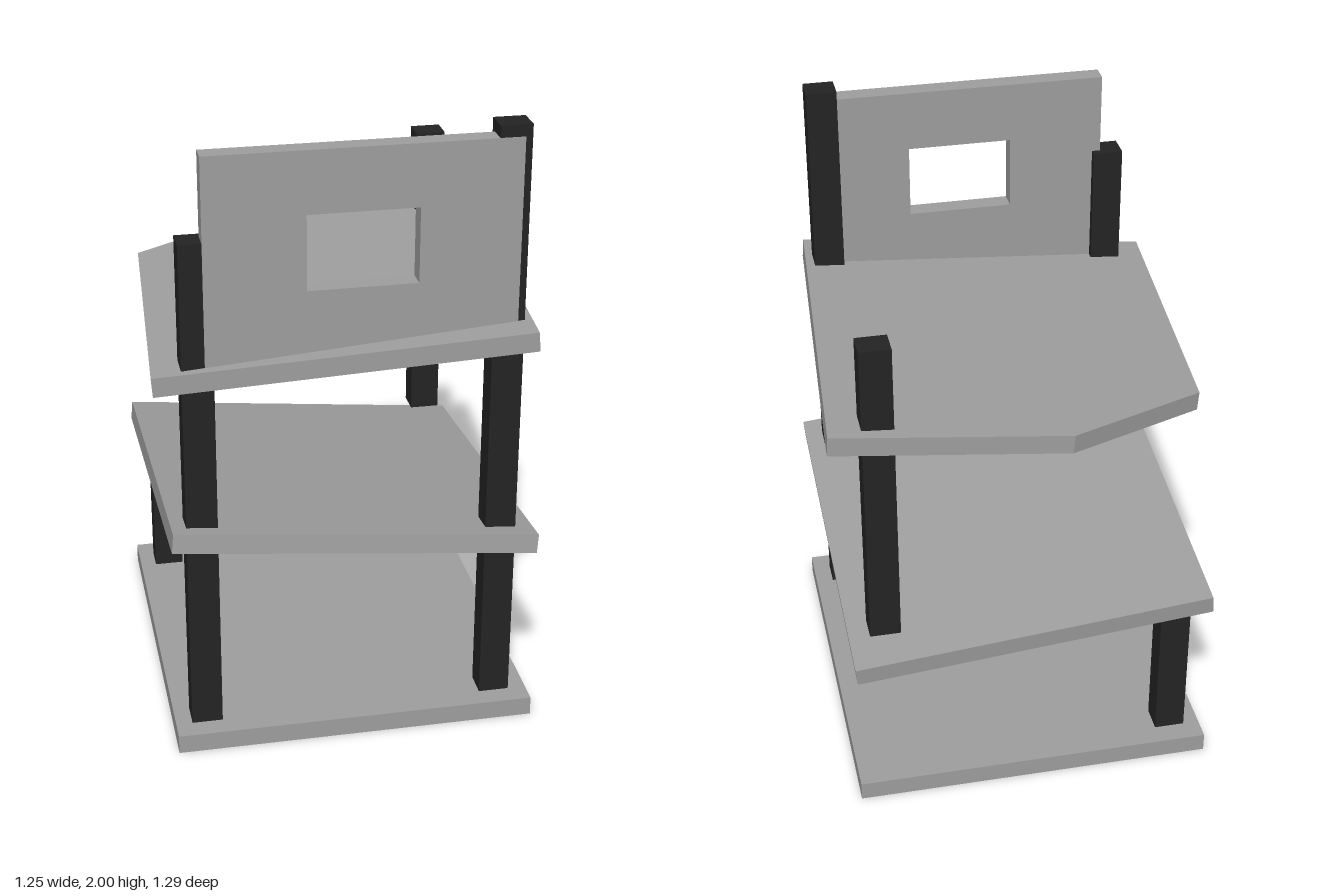
import * as THREE from 'three';

const grey = new THREE.MeshStandardMaterial({ color: 0x9f9f9f });
const dark = new THREE.MeshStandardMaterial({ color: 0x242424 });

export function createModel() {
  const model = new THREE.Group();

  const add = (name, geometry, material, x, y, z) => {
    const mesh = new THREE.Mesh(geometry, material);
    mesh.name = name;
    mesh.position.set(x, y, z);
    model.add(mesh);
    return mesh;
  };
  const polygon = (points) => new THREE.Shape(points.map(([x, y]) => new THREE.Vector2(x, y)));
  const thick = 0.062;

  // Level ground floor and tilted middle floor
  add('groundFloor', new THREE.BoxGeometry(1.157, thick, 1.243), grey, -0.005, thick / 2, -0.013);
  const middle = add('middleFloor', new THREE.BoxGeometry(1.157, thick, 1.243), grey, -0.005, 0.63, -0.014);
  middle.rotation.set(-0.11, 0, -0.1);

  // Upper floor: turned, leaning, with one corner cut off (outline in x, -z)
  const outline = polygon([
    [-0.625, -0.56], [0.533, -0.645], [0.62, 0.595], [-0.11, 0.646], [-0.555, 0.44],
  ]);
  const upperGeometry = new THREE.ExtrudeGeometry(outline, { depth: thick, bevelEnabled: false });
  upperGeometry.rotateX(-Math.PI / 2).translate(0, -thick, 0);
  add('upperFloor', upperGeometry, grey, 0, 1.344, 0).rotation.z = 0.077;

  // Posts: name, x, z, bottom, top
  const posts = [
    ['frontLeftPost', 0.466, 0.498, 0.06, 2.0],
    ['frontRightPost', -0.482, 0.498, 0.06, 1.7],
    ['backLeftPost', 0.466, -0.522, 0.613, 1.65],
    ['backRightShortPost', -0.482, -0.522, 0.06, 0.61],
  ];
  for (const [name, x, z, bottom, top] of posts) {
    add(name, new THREE.BoxGeometry(0.098, top - bottom, 0.085), dark, x, (top + bottom) / 2, z);
  }

  // Front wall panel with a window opening
  const wall = polygon([[-0.46, 1.3], [0.494, 1.3], [0.494, 1.963], [-0.46, 1.963]]);
  wall.holes.push(polygon([[-0.153, 1.53], [-0.153, 1.767], [0.185, 1.767], [0.185, 1.53]]));
  add('windowWall', new THREE.ExtrudeGeometry(wall, { depth: 0.063, bevelEnabled: false }), grey, 0, 0, 0.479);

  return model;
}
